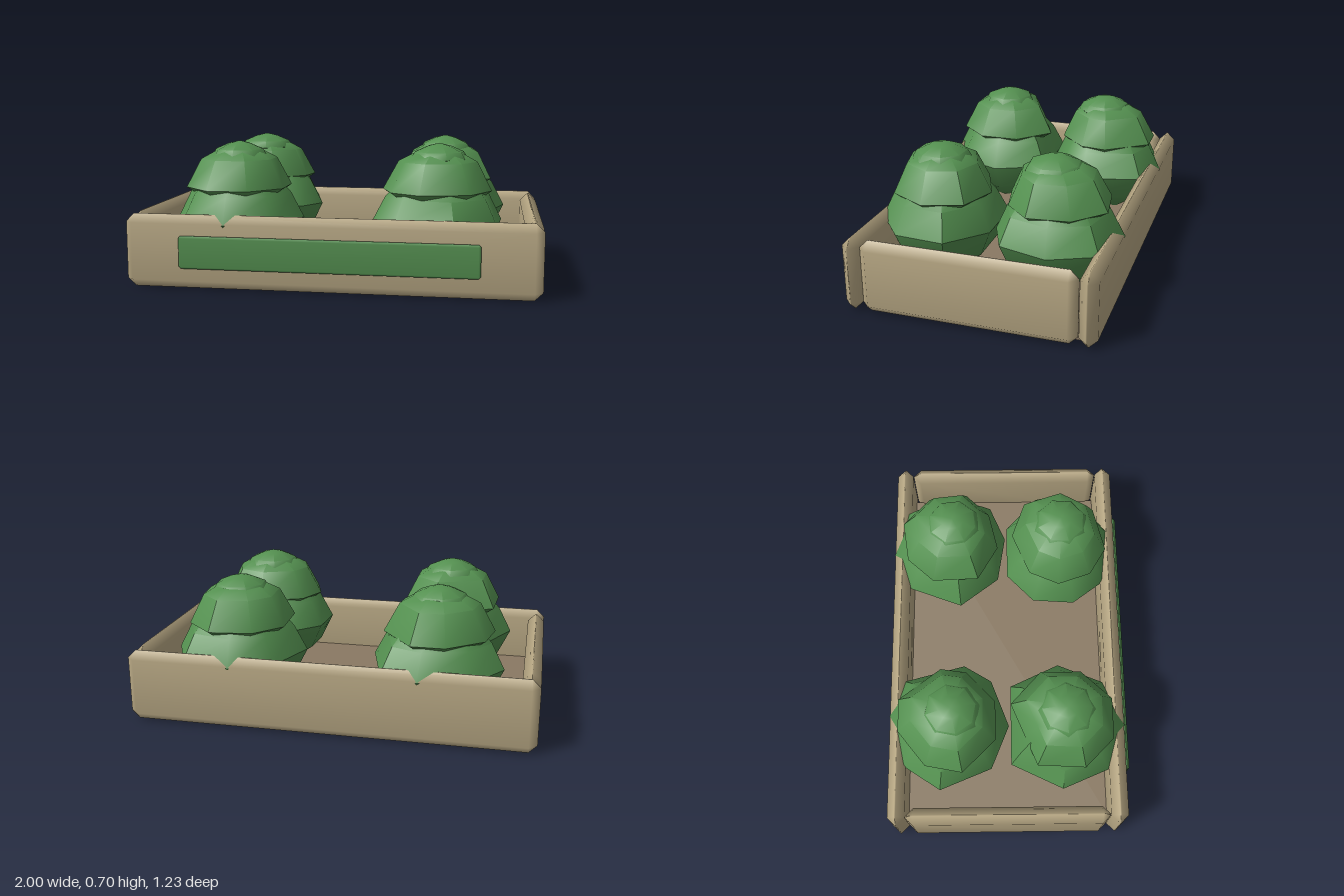
import * as THREE from 'three';
import { mergeVertices, toCreasedNormals } from 'three/addons/utils/BufferGeometryUtils.js';
import { ConvexGeometry } from 'three/addons/geometries/ConvexGeometry.js';

const wood = new THREE.MeshStandardMaterial({ color: 0xb8a884 });
wood.name = 'paleWood';
const soil = new THREE.MeshStandardMaterial({ color: 0x8a7963 });
soil.name = 'brownFloor';
const green = new THREE.MeshStandardMaterial({ color: 0x549050 });
green.name = 'leafGreen';

function addMesh(parent, name, geometry, material) {
  const mesh = new THREE.Mesh(geometry, material);
  mesh.name = name;
  parent.add(mesh);
  return mesh;
}

// Box with 45 degree chamfers and softly shaded edges
function chamferBox(w, h, d, c) {
  const points = [];
  for (const x of [-1, 1]) for (const y of [-1, 1]) for (const z of [-1, 1]) {
    for (let axis = 0; axis < 3; axis++) {
      const half = [w / 2, h / 2, d / 2].map((s, i) => (i === axis ? s : s - c));
      points.push(new THREE.Vector3(x * half[0], y * half[1], z * half[2]));
    }
  }
  const geometry = new ConvexGeometry(points);
  geometry.deleteAttribute('normal');
  const merged = mergeVertices(geometry, 1e-4);
  merged.computeVertexNormals();
  return merged;
}

// Leaf tier: an outline scaled ring by ring, rings listed upward as [scale, y]
function leafTier(outline, rings) {
  const n = outline.length;
  const positions = [], index = [];
  for (const [s, y] of rings) for (const [x, z] of outline) positions.push(x * s, y, z * s);
  const last = rings.length - 1;
  for (let r = 0; r < last; r++) for (let i = 0; i < n; i++) {
    const a = r * n + i, b = r * n + (i + 1) % n;
    index.push(a, a + n, b, b, a + n, b + n);
  }
  // Close the bottom and the top
  positions.push(0, rings[0][1], 0, 0, rings[last][1], 0);
  const bottom = (last + 1) * n;
  for (let i = 0; i < n; i++) {
    const j = (i + 1) % n;
    index.push(bottom, i, j, bottom + 1, last * n + j, last * n + i);
  }
  const geometry = new THREE.BufferGeometry();
  geometry.setAttribute('position', new THREE.Float32BufferAttribute(positions, 3));
  geometry.setIndex(index);
  return toCreasedNormals(geometry, 0.75);
}

// Outlines run clockwise seen from above
const plants = [
  { name: 'backRightPlant', x: -0.5, z: -0.28, outline: [[0.06, -0.335], [0.245, -0.26], [0.325, 0.05], [0.24, 0.19], [0, 0.28], [-0.22, 0.19], [-0.325, -0.07], [-0.2, -0.26]] },
  { name: 'backLeftPlant', x: 0.5, z: -0.28, outline: [[-0.03, -0.335], [0.22, -0.27], [0.32, -0.05], [0.25, 0.19], [0.06, 0.27], [-0.18, 0.23], [-0.33, 0.03], [-0.23, -0.24]] },
  { name: 'frontRightPlant', x: -0.5, z: 0.28, outline: [[-0.02, -0.27], [0.21, -0.27], [0.325, -0.02], [0.23, 0.21], [0, 0.315], [-0.23, 0.22], [-0.325, -0.01], [-0.2, -0.27]] },
  { name: 'frontLeftPlant', x: 0.5, z: 0.28, outline: [[0.125, -0.28], [0.305, -0.115], [0.285, 0.13], [0.09, 0.285], [-0.2, 0.24], [-0.32, 0.075], [-0.305, -0.14], [-0.16, -0.28]] },
];

function circle(n, radius) {
  return Array.from({ length: n }, (_, i) => {
    const a = (i / n) * Math.PI * 2;
    return [Math.sin(a) * radius, -Math.cos(a) * radius];
  });
}

export function createModel() {
  const model = new THREE.Group();
  model.name = 'planterCrate';

  // Crate boards
  for (const [name, z] of [['frontBoard', 0.548], ['backBoard', -0.568]]) {
    addMesh(model, name, chamferBox(2, 0.36, 0.086, 0.04), wood).position.set(0, 0.18, z);
  }
  for (const [name, x] of [['leftBoard', 0.957], ['rightBoard', -0.957]]) {
    addMesh(model, name, chamferBox(0.086, 0.357, 1.024, 0.04), wood).position.set(x, 0.1815, -0.01);
  }

  // Thick floor
  addMesh(model, 'floor', new THREE.BoxGeometry(1.84, 0.087, 1.03), soil).position.set(0, 0.0465, -0.01);

  // Front plate
  addMesh(model, 'frontPlate', chamferBox(1.435, 0.16, 0.024, 0.011), green).position.set(-0.002, 0.184, 0.603);

  // Four leafy plants of three stacked tiers
  plants.forEach((p, k) => {
    const plant = new THREE.Group();
    plant.name = p.name;
    plant.position.set(p.x, 0, p.z);
    model.add(plant);
    addMesh(plant, 'lowerLeaves', leafTier(p.outline, [[0.42, 0.09], [0.8, 0.18], [1, 0.315], [0.8, 0.44], [0.55, 0.53]]), green);
    const middle = addMesh(plant, 'middleLeaves', leafTier(p.outline, [[0.62, 0.425], [0.82, 0.47], [0.59, 0.61], [0.36, 0.65]]), green);
    middle.rotation.y = Math.PI / 8;
    const top = addMesh(plant, 'topLeaves', leafTier(circle(8, 0.142), [[0.85, 0.59], [1, 0.625], [0.86, 0.657], [0.4, 0.685], [0.02, 0.698]]), green);
    top.rotation.y = 0.2 + k * 0.3;
  });

  return model;
}
